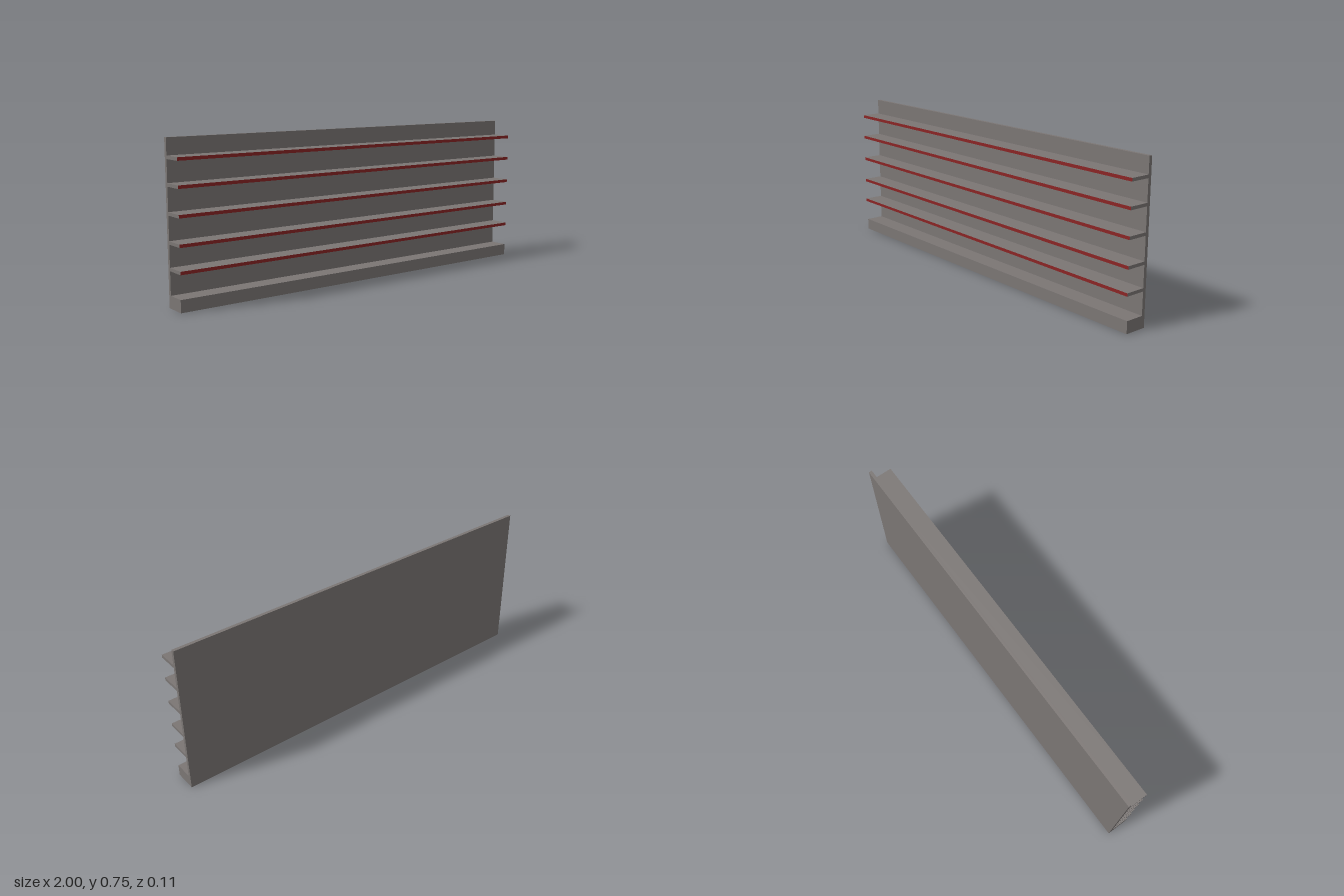
import * as THREE from 'three';

export function createModel() {
  const model = new THREE.Group();
  model.name = 'wallShelf';

  const grey = new THREE.MeshStandardMaterial({ name: 'warm grey', color: 0x7b7674 });
  const red = new THREE.MeshStandardMaterial({ name: 'dark red', color: 0x8a2424 });

  const WIDTH = 2;
  const BACK = -0.057;
  const PANEL_FRONT = -0.041;

  // Full-width box given by its y and z limits
  function slab(name, y0, y1, z0, z1, material) {
    const mesh = new THREE.Mesh(new THREE.BoxGeometry(WIDTH, y1 - y0, z1 - z0), material);
    mesh.name = name;
    mesh.position.set(0, (y0 + y1) / 2, (z0 + z1) / 2);
    model.add(mesh);
  }

  // Plinth and the back panel standing on its rear edge
  slab('base', 0, 0.058, BACK, 0.051, grey);
  slab('backPanel', 0.058, 0.745, BACK, PANEL_FRONT, grey);

  // Shelves with a red front edge (box face order: +x, -x, +y, -y, +z, -z)
  const shelfMaterials = [grey, grey, grey, grey, red, grey];
  [0.167, 0.284, 0.41, 0.535, 0.653].forEach((y, i) => {
    slab(`shelf${i + 1}`, y, y + 0.015, PANEL_FRONT, 0.057, shelfMaterials);
  });

  return model;
}
